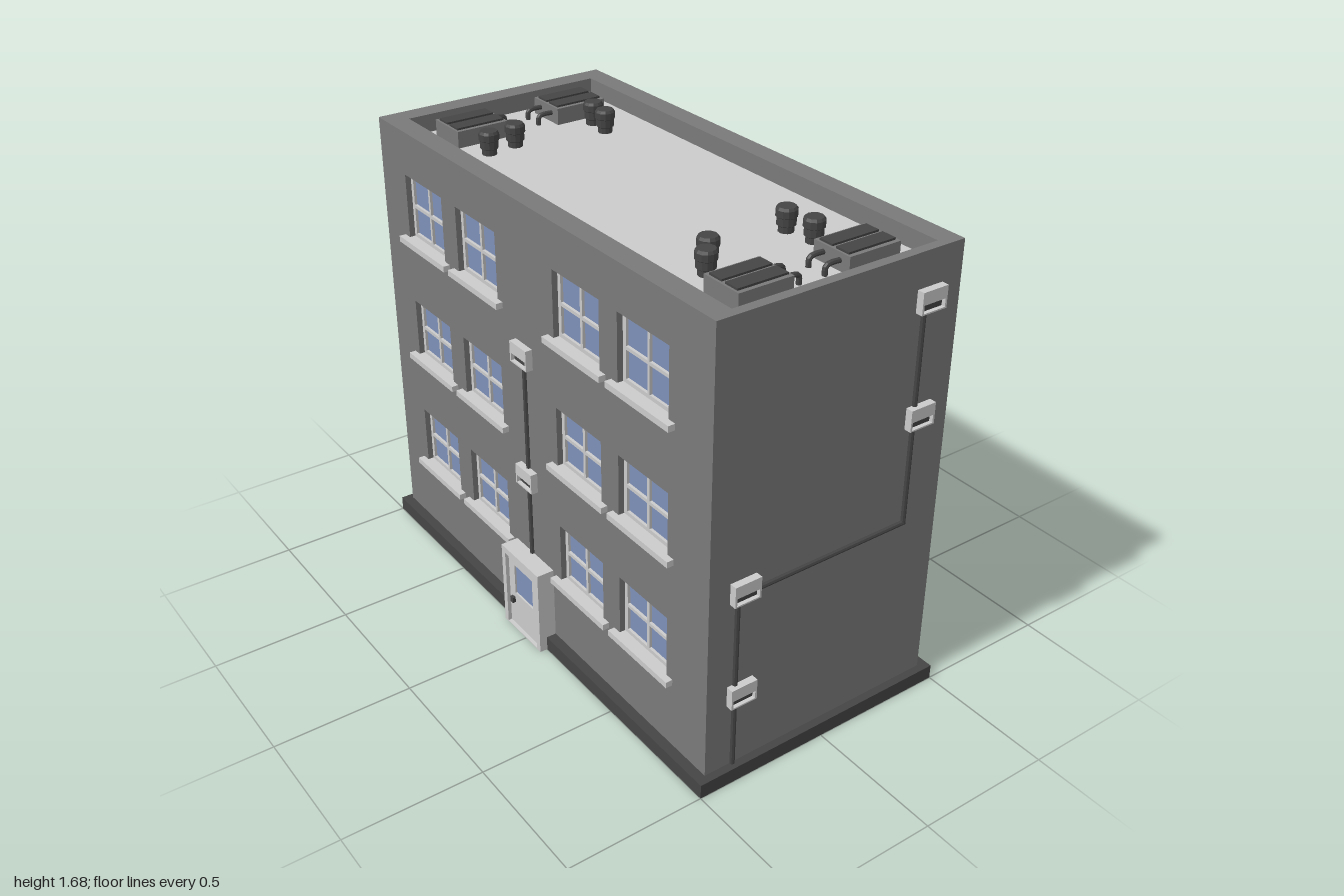
import * as THREE from 'three';

const mat = (color, side = THREE.FrontSide) =>
  new THREE.MeshStandardMaterial({ color, side, flatShading: true });
const LIGHT = mat(0xcccccc);
const WALL = mat(0x7a7a7a);
const WALL2 = mat(0x7a7a7a, THREE.DoubleSide);
const DECK = mat(0xcccccc, THREE.DoubleSide);
const DARK = mat(0x454545);
const GLASS = mat(0x7e90b8, THREE.DoubleSide);

// Outer wall faces and heights
const X0 = -0.976, X1 = 0.971, Z = 0.463, TOP = 1.665, DECK_Y = 1.6;
const MID = -0.022; // centre line of the facades
const WIN_X = [-0.655, -0.301, 0.301, 0.655], WIN_W = 0.26;
const ROWS = [[0.32, 0.547], [0.786, 1.01], [1.262, 1.503]];

function add(parent, name, geometry, material, x = 0, y = 0, z = 0) {
  const m = new THREE.Mesh(geometry, material);
  m.name = name;
  m.position.set(x, y, z);
  parent.add(m);
  return m;
}
const box = (p, name, material, w, h, d, x, y, z) =>
  add(p, name, new THREE.BoxGeometry(w, h, d), material, x, y, z);

function group(parent, name, x = 0, y = 0, z = 0) {
  const g = new THREE.Group();
  g.name = name;
  g.position.set(x, y, z);
  parent.add(g);
  return g;
}

function outline(Type, x0, y0, x1, y1) {
  const s = new Type();
  s.moveTo(x0, y0);
  s.lineTo(x1, y0);
  s.lineTo(x1, y1);
  s.lineTo(x0, y1);
  s.closePath();
  return s;
}

// Rectangle with rectangular holes, each given as [x0, y0, x1, y1]
function plate(rect, holes, depth) {
  const s = outline(THREE.Shape, ...rect);
  holes.forEach((h) => s.holes.push(outline(THREE.Path, ...h)));
  return depth ? new THREE.ExtrudeGeometry(s, { depth, bevelEnabled: false })
    : new THREE.ShapeGeometry(s);
}

// Recessed four-pane window; local z = 0 is the wall face
function addWindow(parent, x, y0, y1) {
  const h = y1 - y0, w = WIN_W / 2, e = 0.016, b = 0.006, m = h / 2;
  const g = group(parent, 'window', x, y0, 0);
  add(g, 'windowReveal', plate([-w - 0.003, -0.003, w + 0.003, h + 0.003], [[-w, 0, w, h]], 0.03),
    WALL, 0, 0, -0.031);
  add(g, 'windowFrame', plate([-w, 0, w, h], [
    [-w + e, e, -b, m - b], [b, e, w - e, m - b],
    [-w + e, m + b, -b, h - e], [b, m + b, w - e, h - e],
  ], 0.018), LIGHT, 0, 0, -0.04);
  add(g, 'windowGlass', new THREE.PlaneGeometry(2 * w - e, h - e), GLASS, 0, m, -0.032);
  box(g, 'windowSill', LIGHT, 0.323, 0.022, 0.05, 0, -0.009, 0);
}

// Hooded vent with a dark slot in its lower half
function addVent(parent, x, y) {
  const g = group(parent, 'ventBox', x, y, 0);
  add(g, 'ventHousing', plate([-0.05, -0.038, 0.05, 0.038], [[-0.043, -0.033, 0.043, -0.005]], 0.032),
    LIGHT, 0, 0, -0.006);
  box(g, 'ventSlot', DARK, 0.088, 0.03, 0.012, 0, -0.019, 0.006);
}

// Straight square-ended pipe run through the given points
function addPipe(parent, points) {
  for (let i = 1; i < points.length; i++) {
    const a = new THREE.Vector3(...points[i - 1]), b = new THREE.Vector3(...points[i]);
    const p = add(parent, 'drainPipe', new THREE.CylinderGeometry(0.009, 0.009, a.distanceTo(b) + 0.012, 8), DARK);
    p.position.copy(a).lerp(b, 0.5);
    p.quaternion.setFromUnitVectors(new THREE.Vector3(0, 1, 0), b.sub(a).normalize());
  }
}

function addDoor(parent) {
  const g = group(parent, 'door');
  add(g, 'doorSurround', plate([-0.12, 0, 0.12, 0.33], [[-0.098, 0.004, 0.098, 0.305]], 0.07), LIGHT, 0, 0, -0.004);
  add(g, 'doorLeaf', plate([-0.098, 0.004, 0.098, 0.305], [[-0.061, 0.145, 0.057, 0.268]], 0.02), LIGHT, 0, 0, 0.032);
  box(g, 'doorGlass', GLASS, 0.12, 0.125, 0.006, -0.002, 0.206, 0.042);
  box(g, 'doorHandle', DARK, 0.018, 0.022, 0.014, -0.072, 0.113, 0.057);
}

// Doors, windows and centre pipe of one long side
function addFacade(root, s) {
  const g = group(root, s > 0 ? 'frontFacade' : 'backFacade', MID, 0, s * Z);
  if (s < 0) g.rotation.y = Math.PI;
  for (const [y0, y1] of ROWS) for (const x of WIN_X) addWindow(g, x, y0, y1);
  addDoor(g);
  const px = -0.013 * s;
  addPipe(g, [[px, 0.33, 0.002], [px, 1.1, 0.002]]);
  for (const y of [0.648, 1.125]) addVent(g, px, y);
}

// Stepped pipe with four vents on one short side
function addSide(root, s) {
  const g = group(root, s > 0 ? 'leftSide' : 'rightSide', s > 0 ? X1 : X0, 0, 0);
  g.rotation.y = s * Math.PI / 2;
  const up = 0.316 * s, low = -0.356 * s;
  addPipe(g, [[up, 1.49, 0.003], [up, 0.713, 0.003], [low, 0.713, 0.003], [low, 0.03, 0.003]]);
  for (const y of [1.507, 1.107]) addVent(g, 0.336 * s, y);
  for (const y of [0.732, 0.337]) addVent(g, -0.334 * s, y);
}

// Rooftop cooling unit; s is the side of z it stands on
function addCooler(root, x, s) {
  const g = group(root, 'coolingUnit', x, DECK_Y, 0.205 * s);
  box(g, 'coolerCase', WALL, 0.158, 0.06, 0.2, 0, 0.03, 0);
  for (const dx of [-0.036, 0.036]) {
    box(g, 'coolerGrille', DARK, 0.056, 0.008, 0.184, dx, 0.063, 0);
    const bend = new THREE.CatmullRomCurve3([
      [dx, 0.035, -0.095 * s], [dx, 0.035, -0.14 * s], [dx, 0.028, -0.154 * s], [dx, 0, -0.156 * s],
    ].map((p) => new THREE.Vector3(...p)));
    add(g, 'coolerPipe', new THREE.TubeGeometry(bend, 10, 0.009, 8), DARK);
  }
}

export function createModel() {
  const root = new THREE.Group();
  root.name = 'apartmentBlock';

  // Thin wall shell, open underneath
  const holes = ROWS.flatMap(([y0, y1]) => WIN_X.map((x) =>
    [MID + x - WIN_W / 2, y0, MID + x + WIN_W / 2, y1]));
  const face = plate([X0, 0, X1, TOP], holes);
  add(root, 'frontWall', face, WALL2, 0, 0, Z);
  add(root, 'backWall', face, WALL2, 0, 0, -Z);
  for (const x of [X0, X1]) {
    add(root, 'endWall', new THREE.PlaneGeometry(2 * Z, TOP), WALL2, x, TOP / 2, 0).rotation.y = Math.sign(x) * Math.PI / 2;
  }

  // Plinth ring, parapet and roof deck
  const flat = (g) => g.rotateX(-Math.PI / 2);
  add(root, 'plinth', flat(plate([-1, -0.5, 1, 0.5], [[X0 + 0.015, -Z + 0.015, X1 - 0.015, Z - 0.015]], 0.053)), DARK);
  const inner = [-0.898, -0.384, 0.936, 0.386];
  add(root, 'parapet', flat(plate([X0, -Z, X1, Z], [inner], TOP - DECK_Y)), WALL, 0, DECK_Y, 0);
  add(root, 'roofDeck', flat(plate(inner, [])), DECK, 0, DECK_Y, 0);

  for (const s of [1, -1]) {
    addFacade(root, s);
    addSide(root, s);
    for (const x of [-0.77, 0.788]) addCooler(root, x, s);
  }

  // Roof vents with overhanging caps
  const profile = [[0.026, 0], [0.026, 0.02], [0.032, 0.024], [0.032, 0.05], [0.036, 0.053], [0.036, 0.076], [0.03, 0.085], [0, 0.085]]
    .map((p) => new THREE.Vector2(...p));
  const vent = new THREE.LatheGeometry(profile, 12);
  for (const [x, z] of [[-0.6, 0.13], [-0.585, 0.243], [-0.63, -0.217], [-0.536, -0.205],
    [0.513, -0.165], [0.624, -0.18], [0.548, 0.165], [0.618, 0.226]]) {
    add(root, 'roofVent', vent, DARK, x, DECK_Y, z);
  }
  return root;
}
